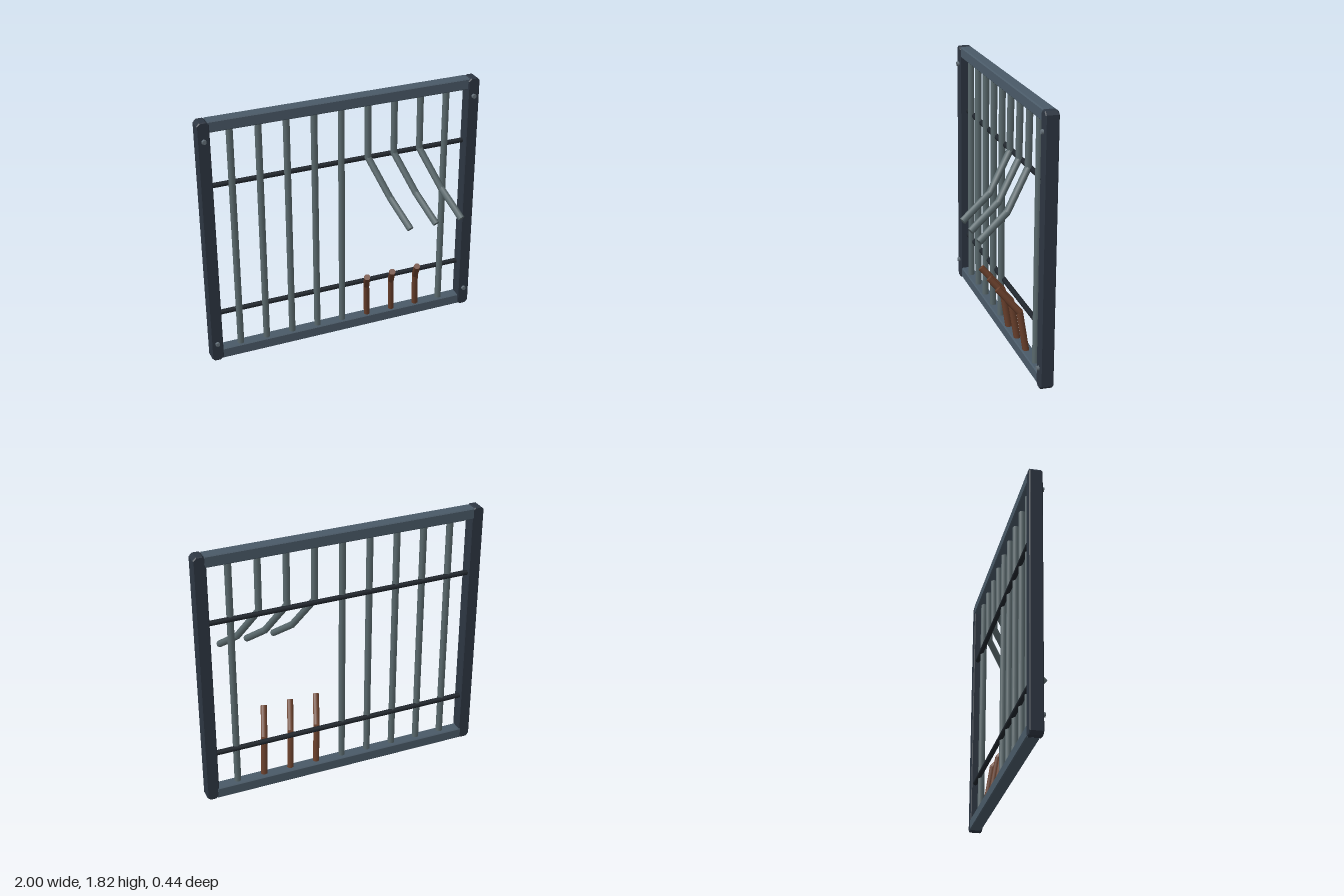
import * as THREE from 'three';

const mat = (name, color) => {
  const m = new THREE.MeshStandardMaterial({ color });
  m.name = name;
  return m;
};

// Rectangle with cut corners, centred on the origin
function chamferedRect(w, h, c) {
  const x = w / 2, y = h / 2;
  return new THREE.Shape([
    [-x + c, -y], [x - c, -y], [x, -y + c], [x, y - c],
    [x - c, y], [-x + c, y], [-x, y - c], [-x, -y + c],
  ].map(([a, b]) => new THREE.Vector2(a, b)));
}

export function createModel() {
  const group = new THREE.Group();
  const railMat = mat('slate steel', 0x4a5a68);
  const postMat = mat('dark steel', 0x2d3642);
  const barMat = mat('grey iron', 0x5a696d);
  const crossMat = mat('black iron', 0x20262d);
  const rustMat = mat('rust', 0x6a402c);
  const boltMat = mat('bolt steel', 0x65717a);
  const up = new THREE.Vector3(0, 1, 0);
  const Z = -0.17;

  const add = (name, geometry, material, x = 0, y = 0, z = 0) => {
    const mesh = new THREE.Mesh(geometry, material);
    mesh.name = name;
    mesh.position.set(x, y, z);
    group.add(mesh);
    return mesh;
  };

  // Round rod through a list of points, one straight piece per pair
  const rod = (name, points, radius, material) => {
    const part = new THREE.Group();
    part.name = name;
    for (let i = 0; i + 1 < points.length; i++) {
      const a = new THREE.Vector3(...points[i]);
      const b = new THREE.Vector3(...points[i + 1]);
      const dir = b.clone().sub(a);
      const piece = new THREE.Mesh(new THREE.CylinderGeometry(radius, radius, dir.length() + 0.006, 8), material);
      piece.name = name + 'Piece';
      piece.position.copy(a).add(b).multiplyScalar(0.5);
      piece.quaternion.setFromUnitVectors(up, dir.normalize());
      part.add(piece);
    }
    group.add(part);
  };

  // Top and bottom rails
  for (const [name, y] of [['topRail', 1.779], ['bottomRail', 0.043]]) {
    const g = new THREE.ExtrudeGeometry(chamferedRect(0.083, 0.079, 0.007), { depth: 1.85, bevelEnabled: false });
    g.translate(0, 0, -0.925).rotateY(Math.PI / 2);
    add(name, g, railMat, 0, y, -0.176);
  }

  // Side posts with cut ends, and their bolts
  const b = 0.006;
  for (const side of [-1, 1]) {
    const g = new THREE.ExtrudeGeometry(chamferedRect(0.085 - 2 * b, 1.82 - 2 * b, 0.018), {
      depth: 0.088 - 2 * b, bevelSize: b, bevelThickness: b, bevelSegments: 1,
    });
    g.translate(0, 0, -0.044 + b);
    add(side > 0 ? 'leftPost' : 'rightPost', g, postMat, side * 0.9575, 0.91, -0.171);
    for (const y of [0.14, 1.69]) {
      const bolt = new THREE.CylinderGeometry(0.016, 0.018, 0.022, 6).rotateX(Math.PI / 2);
      add('bolt', bolt, boltMat, side * 0.957, y, -0.122);
    }
  }

  // Horizontal cross rods behind the bars
  for (const y of [0.355, 1.34]) rod('crossRod', [[-0.93, y, -0.187], [0.93, y, -0.187]], 0.018, crossMat);

  // Upright bars; three are broken and bent outward
  for (let i = 0; i < 9; i++) {
    const x = -0.775 + i * 0.1928;
    if (i < 5 || i === 8) {
      rod('bar', [[x, 0.06, Z], [x, 1.76, Z]], 0.024, barMat);
    } else {
      rod('upperBentBar', [
        [x, 1.76, Z], [x, 1.35, Z + 0.005], [x + 0.095, 1.1, 0.002], [x + 0.157, 0.948, 0.2],
      ], 0.024, barMat);
      rod('lowerRustyBar', [
        [x + 0.002, 0.06, Z], [x - 0.022, 0.35, -0.128], [x - 0.074, 0.506, 0.008],
      ], 0.023, rustMat);
    }
  }
  return group;
}
